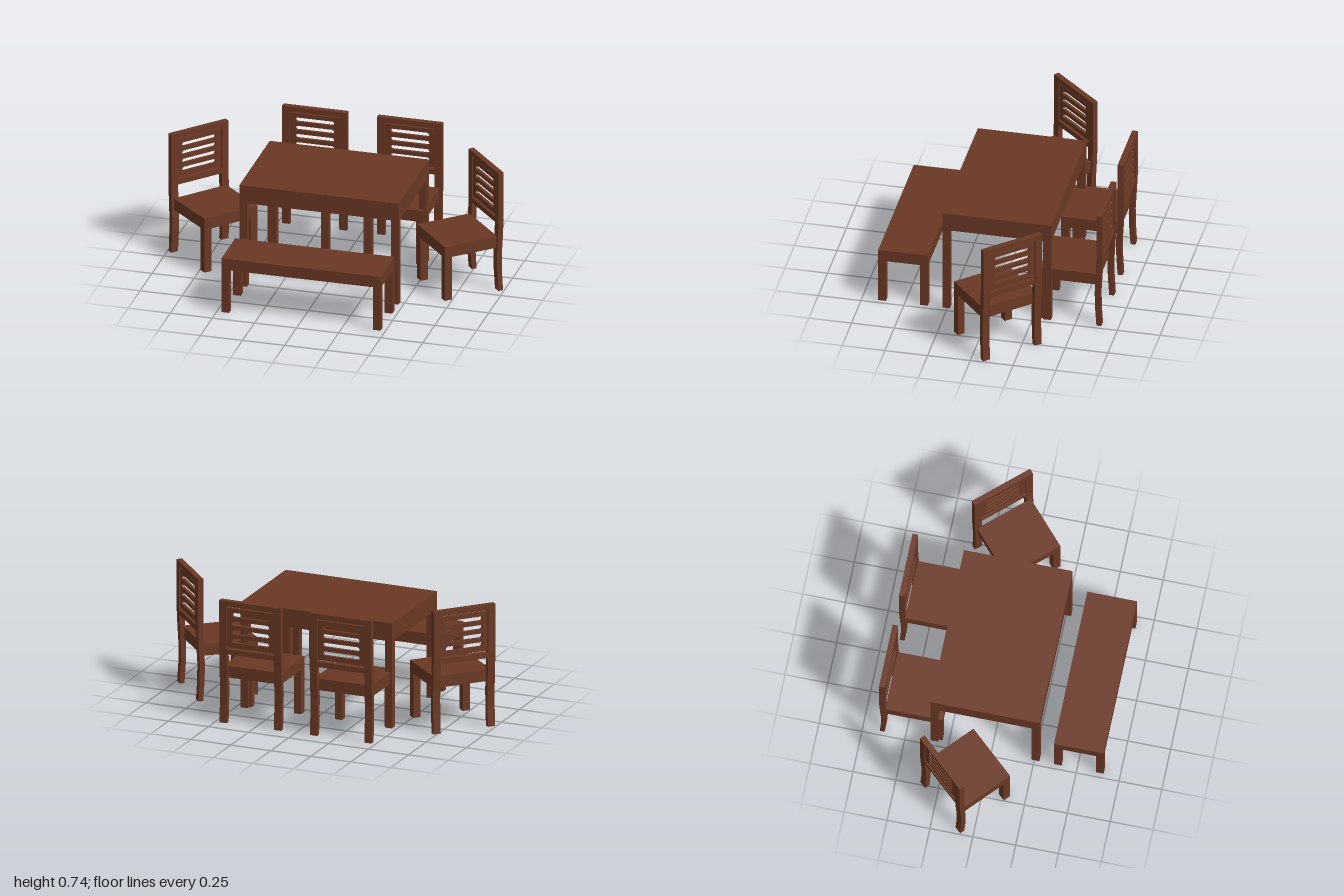
import * as THREE from 'three';

const wood = new THREE.MeshStandardMaterial({ color: 0x6b3824 });
wood.name = 'brown wood';

function add(parent, name, geometry, x = 0, y = 0, z = 0) {
  const mesh = new THREE.Mesh(geometry, wood);
  mesh.name = name;
  mesh.position.set(x, y, z);
  parent.add(mesh);
  return mesh;
}

// Box given by its low and high corners
function box(parent, name, [x0, y0, z0], [x1, y1, z1]) {
  return add(parent, name, new THREE.BoxGeometry(x1 - x0, y1 - y0, z1 - z0),
    (x0 + x1) / 2, (y0 + y1) / 2, (z0 + z1) / 2);
}

// Slab with a skirt of aprons around a hollow underside
function hollowTop(parent, name, w, z0, z1, yLow, yTop) {
  const t = 0.02, x = w / 2, ySlab = yTop - 0.02;
  box(parent, name, [-x, ySlab, z0], [x, yTop, z1]);
  box(parent, name + ' front apron', [-x, yLow, z1 - t], [x, ySlab, z1]);
  box(parent, name + ' back apron', [-x, yLow, z0], [x, ySlab, z0 + t]);
  for (const s of [-1, 1]) {
    const a = s * x, b = s * (x - t);
    box(parent, name + ' side apron', [Math.min(a, b), yLow, z0 + t], [Math.max(a, b), ySlab, z1 - t]);
  }
}

const LEG = 0.045;
function legPair(parent, name, w, z0, yTop) {
  for (const s of [-1, 1]) {
    const cx = s * (w - LEG) / 2;
    box(parent, name, [cx - LEG / 2, 0, z0], [cx + LEG / 2, yTop, z0 + LEG]);
  }
}

// Table or bench: hollow top on four square legs
function makeTable(name, w, z0, z1, yLow, yTop) {
  const g = new THREE.Group();
  g.name = name;
  hollowTop(g, name + ' top', w, z0, z1, yLow, yTop);
  legPair(g, name + ' front leg', w, z1 - LEG, yTop - 0.02);
  legPair(g, name + ' back leg', w, z0, yTop - 0.02);
  return g;
}

// Gently bent back post, drawn in side profile and extruded across
function postGeometry() {
  const v = (z, y) => new THREE.Vector2(z, y);
  const front = [v(-0.335, 0), v(-0.327, 0.12), v(-0.325, 0.22), v(-0.332, 0.34), v(-0.335, 0.45), v(-0.335, 0.737)];
  const back = [v(-0.368, 0.737), v(-0.368, 0.45), v(-0.363, 0.34), v(-0.356, 0.22), v(-0.357, 0.12), v(-0.364, 0)];
  const geo = new THREE.ExtrudeGeometry(new THREE.Shape([...front, ...back]), { depth: LEG, bevelEnabled: false });
  geo.translate(0, 0, -LEG / 2);
  geo.rotateY(-Math.PI / 2);
  return geo;
}

// Back panel with four round-ended slots
function panelGeometry() {
  const w = 0.148, y0 = 0.459, y1 = 0.696;
  const shape = new THREE.Shape();
  shape.moveTo(-w, y0).lineTo(w, y0).lineTo(w, y1).lineTo(-w, y1).closePath();
  const r = 0.0135, half = 0.115 - r;
  for (let i = 0; i < 4; i++) {
    const y = 0.502 + i * 0.0515;
    const slot = new THREE.Path();
    slot.absarc(half, y, r, -Math.PI / 2, Math.PI / 2, false);
    slot.absarc(-half, y, r, Math.PI / 2, Math.PI * 1.5, false);
    slot.closePath();
    shape.holes.push(slot);
  }
  return new THREE.ExtrudeGeometry(shape, { depth: 0.018, bevelEnabled: false, curveSegments: 8 });
}

// Chair: origin on the floor below the middle of the seat's front edge, facing +z
function makeChair(name, x, z, turn) {
  const g = new THREE.Group();
  g.name = name;
  const seatW = 0.355, backW = 0.385, railX = backW / 2 - LEG;
  hollowTop(g, 'seat', seatW, -0.335, 0, 0.267, 0.337);
  legPair(g, 'front leg', seatW, -LEG, 0.317);
  const post = postGeometry();
  for (const s of [-1, 1]) add(g, 'back post', post, s * (backW - LEG) / 2);
  box(g, 'top rail', [-railX, 0.706, -0.368], [railX, 0.737, -0.335]);
  box(g, 'bottom rail', [-railX, 0.417, -0.367], [railX, 0.448, -0.335]);
  add(g, 'slotted panel', panelGeometry(), 0, 0, -0.36);
  g.position.set(x, 0, z);
  g.rotation.y = turn;
  return g;
}

export function createModel() {
  const model = new THREE.Group();
  model.name = 'dining set';
  model.add(makeTable('table', 0.945, -0.355, 0.28, 0.523, 0.633));
  model.add(makeTable('bench', 0.945, 0.365, 0.655, 0.267, 0.337));
  // Two chairs behind the table, two turned at its ends
  for (const s of [-1, 1]) {
    const side = s > 0 ? 'left' : 'right';
    model.add(makeChair(side + ' back chair', s * 0.2825, -0.287, 0));
    model.add(makeChair(side + ' end chair', s * 0.594, 0.0275, -s * 0.834));
  }
  return model;
}
